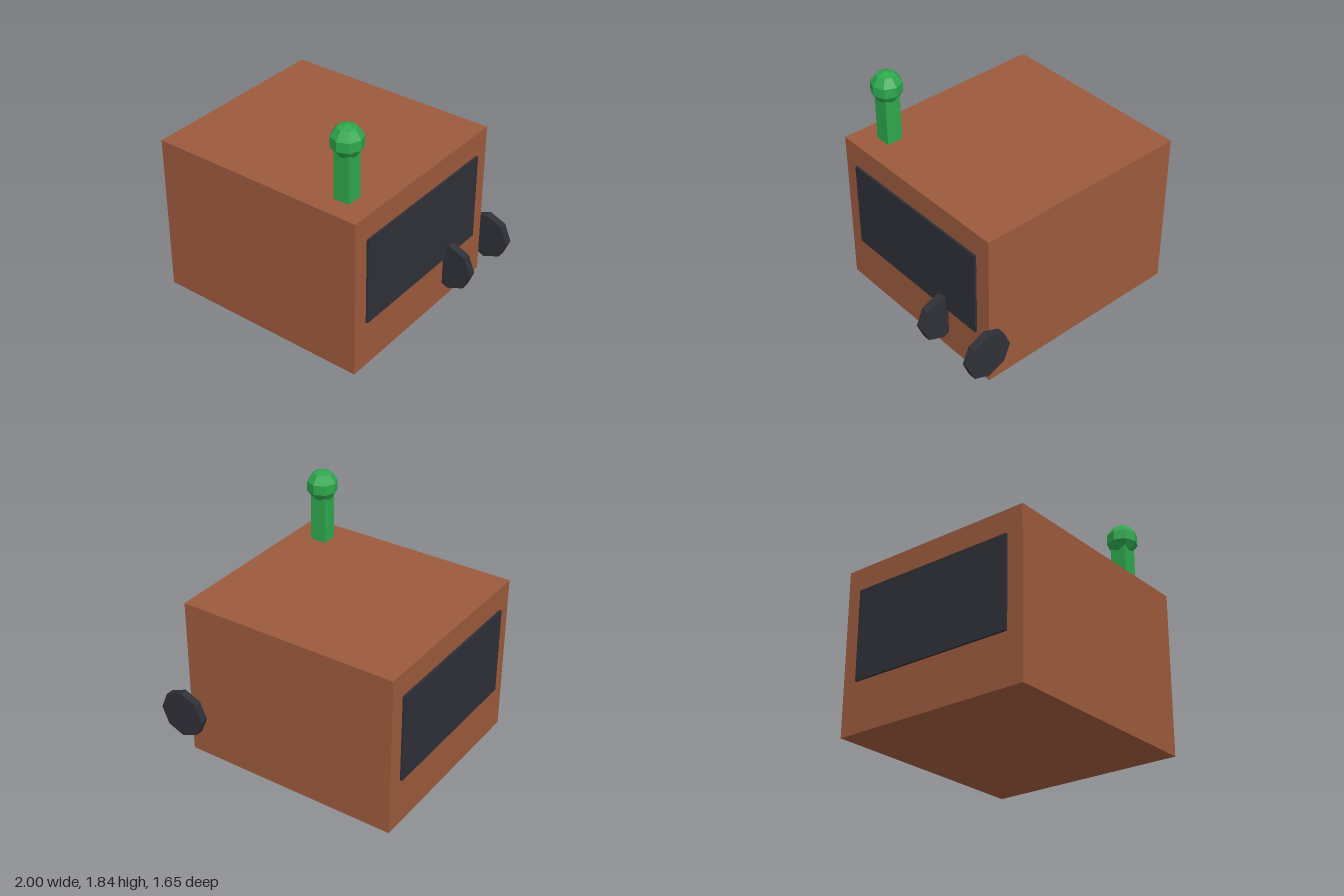
import * as THREE from 'three';

export function createModel() {
  const model = new THREE.Group();
  model.name = 'model';

  const material = (name, color) => {
    const m = new THREE.MeshStandardMaterial({ color, flatShading: true });
    m.name = name;
    return m;
  };
  const brown = material('brown', 0x9c5a3c);
  const charcoal = material('charcoal', 0x2f2f38);
  const green = material('green', 0x2ea74d);

  const add = (name, geometry, mat, x, y, z) => {
    const mesh = new THREE.Mesh(geometry, mat);
    mesh.name = name;
    mesh.position.set(x, y, z);
    model.add(mesh);
    return mesh;
  };

  // Main box
  add('body', new THREE.BoxGeometry(1.742, 1.272, 1.59), brown, -0.111, 0.636, 0.031);

  // Dark panels standing slightly proud of both sides
  const panel = new THREE.BoxGeometry(0.018, 0.7, 1.336);
  add('leftPanel', panel, charcoal, 0.768, 0.735, 0.031);
  add('rightPanel', panel, charcoal, -0.991, 0.735, 0.031);

  // Octagonal discs: one half sunk in the side, one against the back
  const disc = new THREE.CylinderGeometry(0.19, 0.19, 0.062, 8).rotateX(Math.PI / 2);
  add('sideDisc', disc, charcoal, 0.81, 0.32, -0.287);
  add('backDisc', disc, charcoal, 0.81, 0.32, -0.795);

  // Square post with a faceted ball on the roof
  add('post', new THREE.BoxGeometry(0.127, 0.45, 0.127), green, 0.522, 1.495, 0.604);
  add('ball', new THREE.SphereGeometry(0.123, 8, 5), green, 0.522, 1.72, 0.604);

  return model;
}
